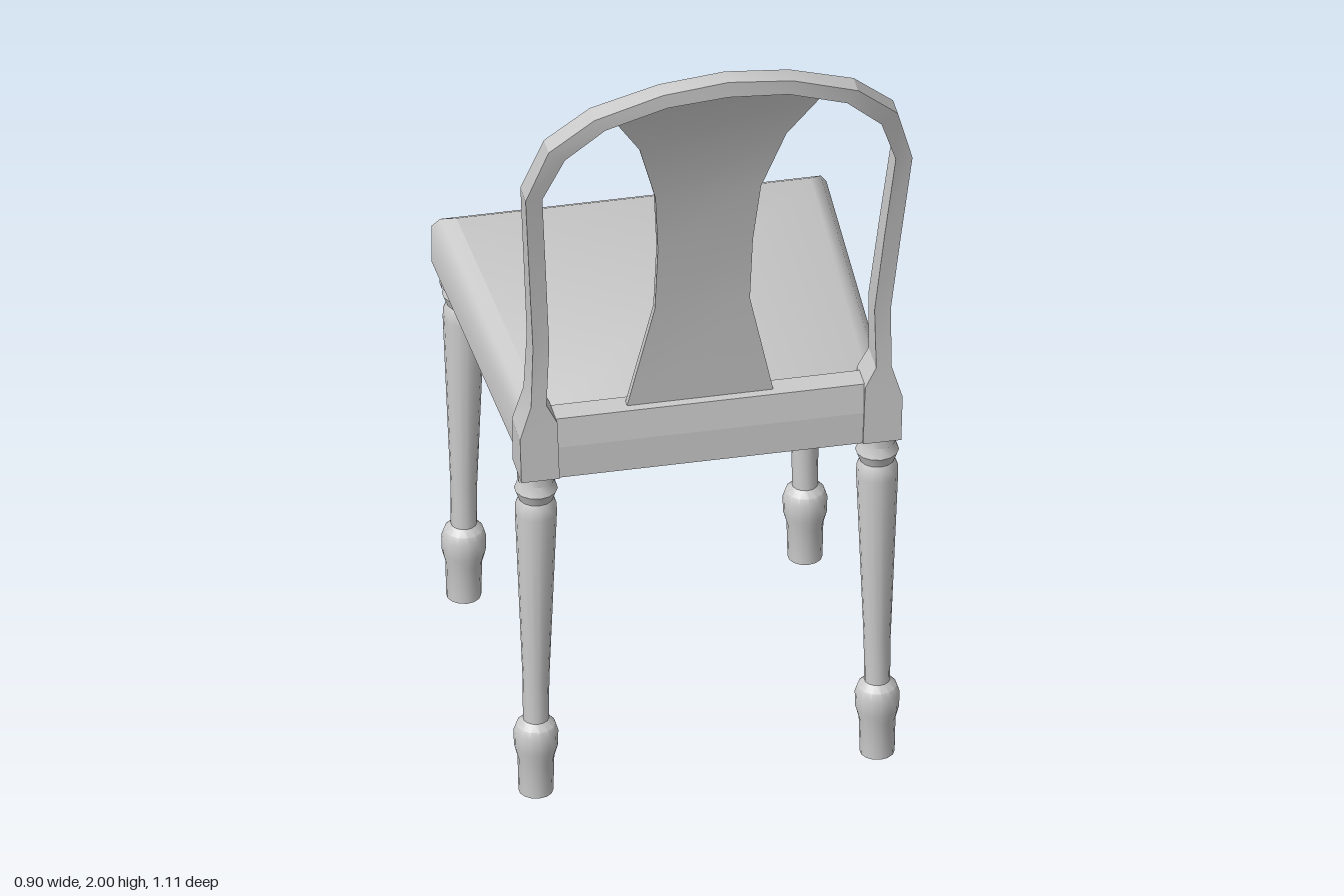
import * as THREE from 'three';
import { toCreasedNormals } from 'three/addons/utils/BufferGeometryUtils.js';

const material = new THREE.MeshStandardMaterial({ color: 0xcccccc });

function mesh(name, geometry, parent) {
  const m = new THREE.Mesh(geometry, material);
  m.name = name;
  parent.add(m);
  return m;
}

// Skin a row of four-cornered cross-sections and cap both ends.
function loft(rings, crease) {
  const index = [0, 2, 1, 0, 3, 2];
  for (let r = 0; r < rings.length - 1; r++) {
    for (let i = 0; i < 4; i++) {
      const a = r * 4 + i, b = r * 4 + (i + 1) % 4;
      index.push(a, b, b + 4, a, b + 4, a + 4);
    }
  }
  const e = (rings.length - 1) * 4;
  index.push(e, e + 1, e + 2, e, e + 2, e + 3);
  const g = new THREE.BufferGeometry();
  g.setAttribute('position', new THREE.Float32BufferAttribute(rings.flat(2), 3));
  g.setIndex(index);
  return toCreasedNormals(g, crease);
}

// Rake of the backrest: [height, z of sitting side, z of rear side].
const RAKE = [
  [0.86, 0.262, 0.36], [1.06, 0.275, 0.36], [1.22, 0.297, 0.366], [1.44, 0.341, 0.403],
  [1.67, 0.387, 0.445], [1.82, 0.437, 0.49], [1.92, 0.473, 0.525], [2.0, 0.507, 0.552],
];
function rake(y) {
  let i = 0;
  while (i < RAKE.length - 2 && y > RAKE[i + 1][0]) i++;
  const [y0, f0, b0] = RAKE[i], [y1, f1, b1] = RAKE[i + 1];
  const t = (y - y0) / (y1 - y0);
  return { front: f0 + (f1 - f0) * t, back: b0 + (b1 - b0) * t };
}

// Tapered seat with rounded upper edges and a recessed underside.
function seatGeometry() {
  const ring = (y, inset, backZ) => {
    const f = 0.449 - inset, b = 0.414 - inset, z = -0.553 + inset;
    return [[f, y, z], [-f, y, z], [-b, y, backZ], [b, y, backZ]];
  };
  return loft([
    ring(0.91, 0.042, 0.275), ring(0.86, 0.042, 0.275), ring(0.86, 0, 0.3),
    ring(0.955, 0, 0.3), ring(0.982, 0.016, 0.3), ring(1.0, 0.047, 0.3),
  ], 0.7);
}

// Posts and arch in one bent bar: [outer x, outer y, inner x, inner y].
function hoopGeometry() {
  const half = [
    [0.432, 0.86, 0.345, 0.86], [0.435, 0.975, 0.35, 1.01], [0.41, 1.06, 0.375, 1.06],
    [0.407, 1.22, 0.37, 1.22], [0.423, 1.44, 0.385, 1.44], [0.44, 1.67, 0.402, 1.67],
    [0.397, 1.825, 0.36, 1.8], [0.3, 1.92, 0.275, 1.89], [0.148, 1.98, 0.138, 1.945],
  ];
  const mirrored = half.map(([a, b, c, d]) => [-a, b, -c, d]);
  const path = [...mirrored, [0, 2, 0, 1.96], ...half.reverse()];
  return loft(path.map(([xo, yo, xi, yi]) => {
    const { front, back } = rake(yo);
    return [[xo, yo, back], [xi, yi, back], [xi, yi, front], [xo, yo, front]];
  }), 0.3);
}

// Waisted centre panel: [height, half width], meeting the arch mid-depth at the top.
function splatGeometry() {
  const rows = [
    [0.99, 0.171], [1.28, 0.108], [1.46, 0.108], [1.62, 0.12],
    [1.79, 0.167], [1.91, 0.237], [1.965, 0.1],
  ];
  const cx = -0.0185, t = 0.009;
  return loft(rows.map(([y, w]) => {
    const { front, back } = rake(y + Math.max(0, y - 1.6) * 0.11);
    const z = (front + back) / 2;
    return [[cx - w, y, z + t], [cx + w, y, z + t], [cx + w, y, z - t], [cx - w, y, z - t]];
  }), 0.4);
}

// Turned leg: [radius, height].
function legGeometry(capRadius) {
  const profile = [
    [0, 0], [0.039, 0], [0.041, 0.09], [0.049, 0.12], [0.05, 0.16], [0.044, 0.178],
    [0.029, 0.192], [0.03, 0.3], [0.047, 0.745], [0.046, 0.768], [0.039, 0.783],
    [0.049, 0.808], [0.04, 0.832], [capRadius, 0.833], [capRadius, 0.87], [0, 0.87],
  ].map(([r, y]) => new THREE.Vector2(r, y));
  return toCreasedNormals(new THREE.LatheGeometry(profile, 14), 0.6);
}

export function createModel() {
  const chair = new THREE.Group();
  chair.name = 'chair';

  mesh('seat', seatGeometry(), chair);
  mesh('backHoop', hoopGeometry(), chair);
  mesh('backSplat', splatGeometry(), chair);

  // Rail between the rear posts, leaning in slightly at the top
  mesh('rearRail', loft([[0.86, 0.355], [0.94, 0.355], [1.012, 0.347]].map(([y, z]) =>
    [[-0.365, y, z], [0.365, y, z], [0.365, y, 0.29], [-0.365, y, 0.29]]), 0.05), chair);

  // Legs: the pair under the open edge of the seat has wider collars
  const collared = legGeometry(0.054), plain = legGeometry(0.042);
  for (const side of [-1, 1]) {
    mesh('seatLeg', collared, chair).position.set(side * 0.388, 0, -0.493);
    mesh('backLeg', plain, chair).position.set(side * 0.388, 0, 0.306);
  }
  return chair;
}
